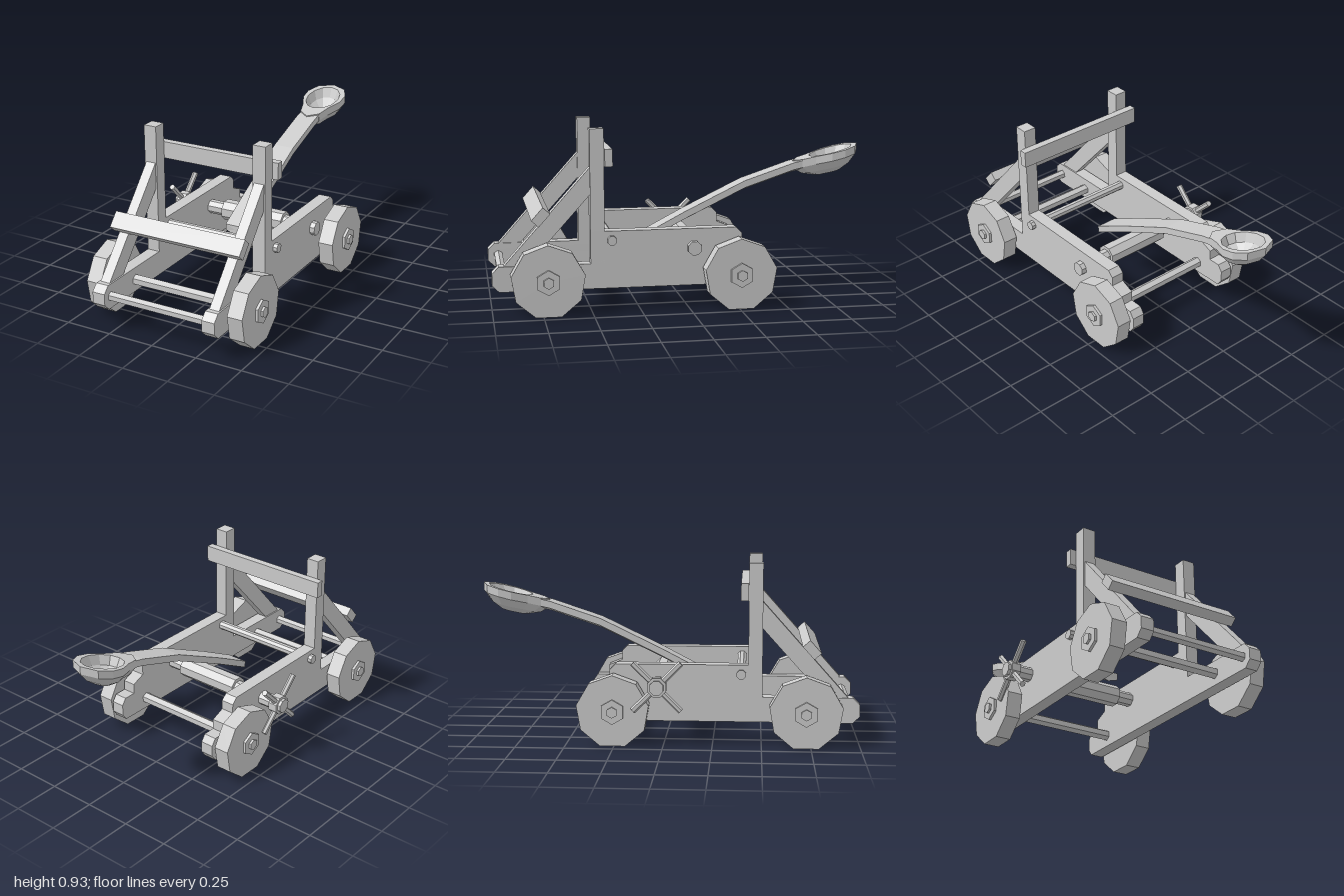
import * as THREE from 'three';

const mat = new THREE.MeshStandardMaterial({ color: 0xcccccc, flatShading: true });

export function createModel() {
  const model = new THREE.Group();
  model.name = 'catapult';
  model.position.x = 0.008;

  const add = (name, geo, x = 0, y = 0, z = 0) => {
    const m = new THREE.Mesh(geo, mat);
    m.name = name;
    m.position.set(x, y, z);
    model.add(m);
    return m;
  };
  const box = (name, w, h, d, x, y, z) => add(name, new THREE.BoxGeometry(w, h, d), x, y, z);

  // Faceted rod along x, with a corner at the top plus an optional turn
  const rod = (name, r, x0, x1, y, z, sides, turn = 0) => {
    const g = new THREE.CylinderGeometry(r, r, x1 - x0, sides, 1, false, Math.PI / 2 + turn);
    g.rotateZ(Math.PI / 2);
    return add(name, g, (x0 + x1) / 2, y, z);
  };

  // Board cut from a side outline of [z, y] points, centred on x
  const board = (name, pts, width, x) => {
    const shape = new THREE.Shape(pts.map(([z, y]) => new THREE.Vector2(-z, y)));
    const g = new THREE.ExtrudeGeometry(shape, { depth: width, bevelEnabled: false });
    g.translate(0, 0, -width / 2);
    g.rotateY(Math.PI / 2);
    return add(name, g, x);
  };

  // Skin over successive rings of equal point count
  const loft = (name, rings) => {
    const pos = [], n = rings[0].length;
    for (let k = 0; k < rings.length - 1; k++) {
      for (let i = 0; i < n; i++) {
        const j = (i + 1) % n;
        const [a, b, c, d] = [rings[k][i], rings[k][j], rings[k + 1][j], rings[k + 1][i]];
        pos.push(...a, ...b, ...c, ...a, ...c, ...d);
      }
    }
    const g = new THREE.BufferGeometry();
    g.setAttribute('position', new THREE.Float32BufferAttribute(pos, 3));
    g.computeVertexNormals();
    return add(name, g);
  };

  // Frame sides
  const railX = 0.3125;
  for (const s of [-1, 1]) {
    const x = s * railX;
    board('lowerRail', [[1, 0.15], [1, 0.21], [0.965, 0.245], [-0.42, 0.245], [-0.445, 0.21],
      [-0.445, 0.15], [-0.42, 0.115], [0.965, 0.115]], 0.07, x);
    board('upperRail', [[0.503, 0.245], [0.503, 0.41], [-0.25, 0.41], [-0.28, 0.38], [-0.28, 0.33],
      [-0.353, 0.3], [-0.353, 0.245]], 0.07, x);
    box('post', 0.07, 0.685, 0.072, x, 0.5875, 0.467);
    board('brace', [[0.503, 0.735], [0.503, 0.597], [0.82, 0.245], [0.94, 0.245]], 0.054, x);
  }

  // Cross pieces
  box('topCrossbar', 0.76, 0.088, 0.04, 0, 0.786, 0.411);
  box('braceCrossbar', 0.74, 0.088, 0.05, 0, 0.494, 0.753).rotation.x = -0.73;
  rod('frontTieRod', 0.025, -0.3, 0.3, 0.18, 0.945, 6);
  rod('middleTieRod', 0.025, -0.37, 0.37, 0.363, 0.395, 8, Math.PI / 8);

  // Axles and wheels
  for (const z of [0.725, -0.258]) {
    rod('axle', 0.029, -0.472, 0.472, 0.178, z, 6);
    for (const s of [-1, 1]) {
      rod('wheel', 0.188, s * 0.405 - 0.041, s * 0.405 + 0.041, 0.177, z, 9);
      rod('wheelHub', 0.064, s * 0.45 - 0.01, s * 0.45 + 0.01, 0.178, z, 6);
    }
  }

  // Winch with drum and crank spokes
  const wy = 0.31, wz = -0.03;
  rod('winchAxle', 0.038, -0.49, 0.375, wy, wz, 8, Math.PI / 8);
  rod('winchDrum', 0.057, -0.182, 0.182, wy, wz, 8, Math.PI / 8);
  rod('crankHub', 0.052, -0.474, -0.425, wy, wz, 8, Math.PI / 8);
  for (const a of [Math.PI / 4, -Math.PI / 4]) {
    add('crankSpoke', new THREE.CylinderGeometry(0.016, 0.016, 0.345, 6), -0.453, wy, wz).rotation.x = a;
  }

  // Throwing arm: flat top, shallow V underneath
  const armPath = [[0.19, 0.33], [-0.03, 0.445], [-0.36, 0.605], [-0.63, 0.695], [-0.7, 0.71]];
  const armRings = armPath.map(([z, y]) => [[-0.058, y, z], [0.058, y, z],
    [0.058, y - 0.036, z - 0.005], [0, y - 0.055, z], [-0.058, y - 0.036, z - 0.005]]);
  const cap = ([z, y]) => Array(5).fill([0, y - 0.025, z]);
  loft('throwingArm', [cap(armPath[0]), ...armRings, cap(armPath[4])]);

  // Spoon: hollow bowl with a wide rim narrowing to the arm
  const half = [[0, -1], [0.085, -0.965], [0.119, -0.9], [0.117, -0.83], [0.08, -0.75], [0.059, -0.68], [0, -0.64]];
  const outline = [...half, ...half.slice(1, 6).reverse().map(([x, z]) => [-x, z])];
  const hollow = outline.map((_, i) => {
    const a = i * Math.PI / 6;
    return [0.095 * Math.sin(a), -0.85 - 0.118 * Math.cos(a)];
  });
  const ring = (pts, scale, drop) => pts.map(([x, z]) => {
    const zz = -0.85 + (z + 0.85) * scale;
    return [x * scale, 0.7 + (-0.63 - zz) * 0.25 - drop, zz];
  });
  loft('spoon', [
    ring(hollow, 0, 0.085), ring(hollow, 0.4, 0.082), ring(hollow, 0.8, 0.05), ring(hollow, 1, 0),
    ring(outline, 1, 0), ring(outline, 1, 0.042), ring(outline, 0.75, 0.085),
    ring(outline, 0.38, 0.115), ring(outline, 0, 0.12),
  ]);

  return model;
}
